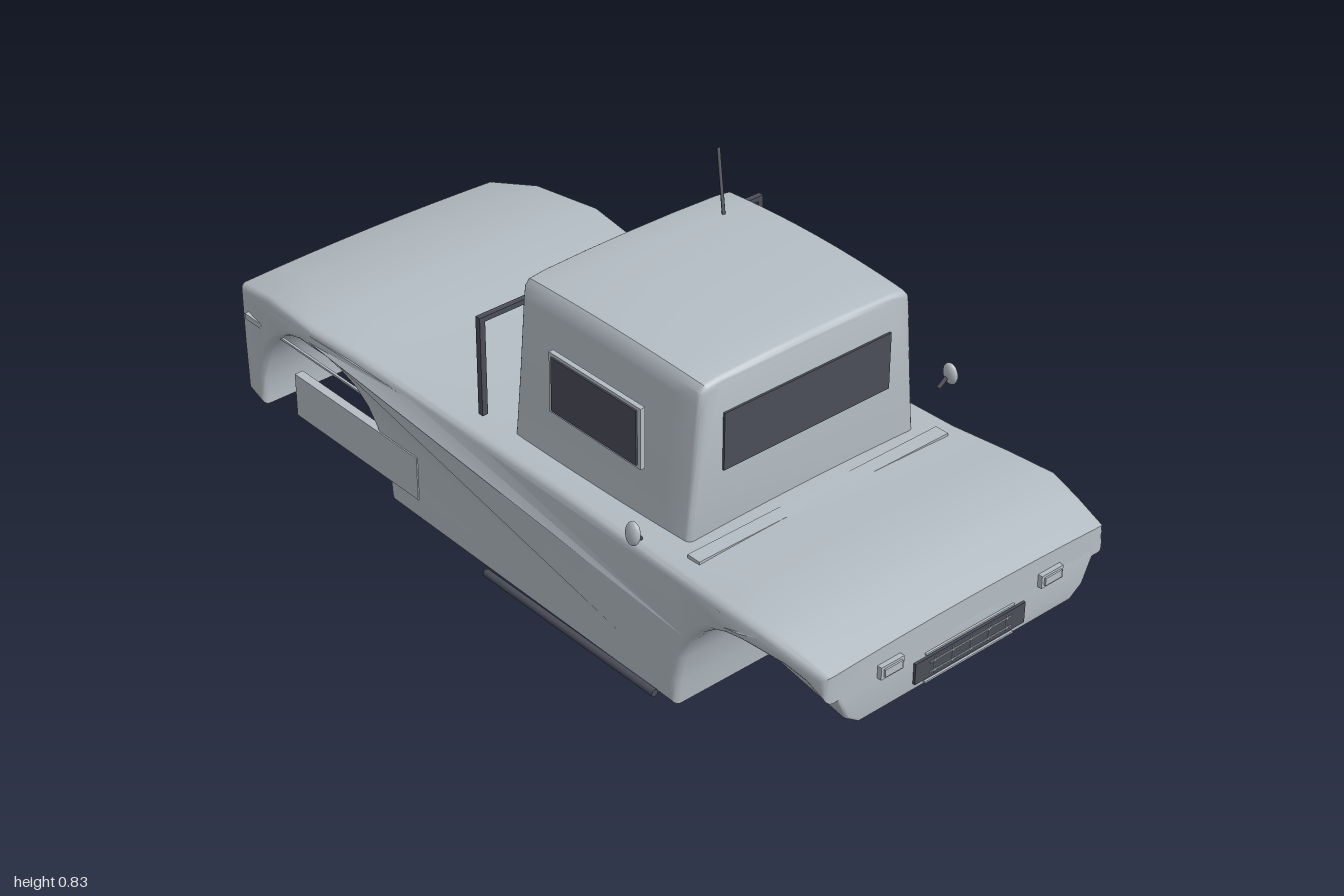
import * as THREE from 'three';
import { mergeVertices, toCreasedNormals } from 'three/addons/utils/BufferGeometryUtils.js';

const paint = new THREE.MeshStandardMaterial({ color: 0xb4bdc4, side: THREE.DoubleSide });
paint.name = 'grey paint';
const dark = new THREE.MeshStandardMaterial({ color: 0x4a4c58, side: THREE.DoubleSide });
dark.name = 'dark trim';

const V = (x, y, z) => new THREE.Vector3(x, y, z);

// Piecewise linear lookup in [position, value] pairs of rising position
function lookup(table, t) {
  if (t <= table[0][0]) return table[0][1];
  for (let i = 1; i < table.length; i++) {
    const [a, va] = table[i - 1], [b, vb] = table[i];
    if (t <= b) return va + (vb - va) * (t - a) / (b - a);
  }
  return table[table.length - 1][1];
}

// Extrude with rounded rims, centred on its depth, total depth given
function slab(points, depth, bevel, steps) {
  const shape = new THREE.Shape(points.map(p => new THREE.Vector2(p[0], p[1])));
  const g = new THREE.ExtrudeGeometry(shape, {
    depth: depth - 2 * bevel, steps, bevelEnabled: true, bevelThickness: bevel,
    bevelSize: bevel, bevelOffset: -bevel, bevelSegments: 4
  });
  return g.translate(0, 0, bevel - depth / 2);
}

// Move every vertex by a rule, then smooth everything but sharp edges
function warp(geometry, rule, crease = 0.6) {
  geometry.deleteAttribute('uv');
  geometry.deleteAttribute('normal');
  const g = mergeVertices(geometry, 1e-4), p = g.attributes.position, v = V(0, 0, 0);
  for (let i = 0; i < p.count; i++) {
    rule(v.fromBufferAttribute(p, i));
    p.setXYZ(i, v.x, v.y, v.z);
  }
  return toCreasedNormals(g, crease);
}

export function createModel() {
  const root = new THREE.Group();
  root.name = 'truckBody';

  const add = (name, geometry, material, x = 0, y = 0, z = 0) => {
    const m = new THREE.Mesh(geometry, material);
    m.name = name;
    m.position.set(x, y, z);
    root.add(m);
    return m;
  };
  const box = (name, material, w, h, d, x, y, z) =>
    add(name, new THREE.BoxGeometry(w, h, d), material, x, y, z);
  const rod = (name, material, a, b, r) => {
    const m = add(name, new THREE.CylinderGeometry(r, r, a.distanceTo(b), 8), material);
    m.position.copy(a).lerp(b, 0.5);
    m.quaternion.setFromUnitVectors(V(0, 1, 0), b.clone().sub(a).normalize());
    return m;
  };

  // Lower body: side outline with both wheel arches, flared over the wheels
  const outline = [
    [0.985, 0.25], [0.985, 0.315], [0.9, 0.337], [0.82, 0.352], [0.7, 0.347], [0.55, 0.338],
    [0.2, 0.335], [-0.05, 0.33], [-0.3, 0.332], [-0.5, 0.345], [-0.64, 0.352],
    [-0.83, 0.338], [-0.975, 0.295], [-0.975, 0.15], [-0.97, 0.015], [-0.89, 0.01]
  ];
  for (let i = 0; i <= 16; i++) {
    const a = Math.PI * (1 - i / 16);
    outline.push([-0.64 + 0.25 * Math.cos(a), 0.03 + 0.268 * Math.sin(a)]);
  }
  outline.push([-0.385, 0.012], [0.56, 0], [0.567, 0.06], [0.58, 0.13], [0.605, 0.185], [0.64, 0.23],
    [0.68, 0.262], [0.72, 0.282], [0.77, 0.296], [0.82, 0.3], [0.88, 0.294], [0.93, 0.28]);
  const halfWidth = [[-0.98, 0.375], [-0.83, 0.4], [-0.64, 0.42], [-0.45, 0.4], [-0.25, 0.39],
    [0, 0.39], [0.3, 0.395], [0.6, 0.403], [0.8, 0.42], [0.985, 0.39]];
  const bodyGeo = slab(outline, 0.8, 0.018, 8).rotateY(-Math.PI / 2);
  add('body', warp(bodyGeo, v => {
    const flare = THREE.MathUtils.smoothstep(v.y, 0.15, 0.3);
    const w = lookup(halfWidth, v.z);
    const low = v.z < -0.8 ? w : 0.4;
    v.x *= (low + (w - low) * flare) / 0.4;
    if (v.y > 0.27) v.y += 0.008 - 0.06 * v.x * v.x;
  }), paint);

  // Nose under the bonnet, rising toward the back
  const nose = slab([[-0.3, 0.165], [0.3, 0.165], [0.335, 0.19], [0.362, 0.25], [0.35, 0.285],
    [-0.35, 0.285], [-0.362, 0.25], [-0.335, 0.19]], 0.37, 0.008, 4).translate(0, 0, 0.8);
  add('nose', warp(nose, v => {
    const back = (0.985 - v.z) / 0.37;
    if (v.y < 0.26) v.y += 0.05 * back * (0.26 - v.y) / 0.095;
    else v.y += 0.01 * Math.min(1, back * 2) - 0.01;
    v.x *= 1 - 0.06 * back;
  }), paint);

  // Grille with its bars, and trim lines above and below
  box('grille', dark, 0.31, 0.05, 0.008, 0, 0.21, 0.987);
  for (let i = -2; i <= 2; i++) box('grilleBar', paint, 0.003, 0.036, 0.004, i * 0.051, 0.21, 0.991);
  for (const y of [0.197, 0.221]) box('grilleBar', paint, 0.23, 0.003, 0.004, 0, y, 0.991);
  for (const y of [0.175, 0.243]) box('noseTrim', paint, 0.25, 0.004, 0.008, 0, y, 0.986);

  // Cab: tapered front outline, roof arched along its length
  const cabOutline = [[-0.326, 0.31], [0.326, 0.31], [0.31, 0.48], [0.296, 0.66], [0.292, 0.69],
    [0.28, 0.704], [0.24, 0.709], [0.12, 0.713], [0, 0.714],
    [-0.12, 0.713], [-0.24, 0.709], [-0.28, 0.704], [-0.292, 0.69], [-0.296, 0.66], [-0.31, 0.48]];
  add('cab', warp(slab(cabOutline, 0.55, 0.014, 8).translate(0, 0, 0.235), v => {
    const t = (v.z - 0.2) / 0.3;
    if (v.y > 0.6) v.y -= 0.012 * t * t;
    v.x *= 1 - 0.02 * t * t;
  }), paint);

  // Windscreen and framed rear window
  box('windscreen', dark, 0.46, 0.135, 0.008, 0, 0.547, 0.511);
  for (const s of [-1, 1]) {
    box('rearWindowFrame', paint, 0.25, 0.008, 0.014, 0, 0.52 + s * 0.035, -0.043);
    box('rearWindowFrame', paint, 0.008, 0.07, 0.014, s * 0.121, 0.52, -0.043);
  }

  // Cowl strip on the bonnet
  box('cowlStrip', paint, 0.7, 0.012, 0.035, 0, 0.341, 0.56);

  // Hoop behind the cab
  box('hoopBar', dark, 0.79, 0.012, 0.014, 0, 0.632, -0.056);

  // Sloping underbody panel ahead of the rear axle
  const panel = box('underbodyPanel', dark, 0.44, 0.006, 0.235, 0, 0.1, -0.525);
  panel.rotation.x = 0.33;

  for (const s of [-1, 1]) {
    // Side window: pane on an upright frame
    box('sideWindowFrame', paint, 0.012, 0.145, 0.285, s * 0.324, 0.527, 0.235);
    box('sideWindow', dark, 0.006, 0.13, 0.265, s * 0.331, 0.527, 0.235);

    // Hoop uprights
    box('hoopUpright', dark, 0.014, 0.238, 0.014, s * 0.388, 0.519, -0.056);

    // Round mirror on a short stalk
    const mirror = add('mirror', new THREE.SphereGeometry(1, 16, 12), paint, s * 0.445, 0.412, 0.487);
    mirror.scale.set(0.011, 0.027, 0.02);
    mirror.rotation.z = s * 0.1;
    rod('mirrorStalk', dark, V(s * 0.442, 0.408, 0.484), V(s * 0.418, 0.384, 0.48), 0.005);

    // Head lamps and tail lamps
    box('headlampFrame', paint, 0.062, 0.03, 0.022, s * 0.225, 0.266, 0.985);
    box('headlamp', paint, 0.048, 0.018, 0.006, s * 0.225, 0.266, 0.997);
    box('tailLamp', dark, 0.04, 0.022, 0.01, s * 0.33, 0.25, -0.977);

    // Side trims, equipment panel and sill tube
    box('sideTrim', paint, 0.012, 0.016, 0.28, s * 0.394, 0.237, -0.22);
    box('rearSideTrim', paint, 0.012, 0.014, 0.065, s * 0.388, 0.237, -0.9);
    box('archRail', paint, 0.006, 0.005, 0.46, s * 0.385, 0.235, -0.64);
    box('sidePanel', paint, 0.022, 0.11, 0.45, s * 0.392, 0.125, -0.505);
    rod('sillTube', dark, V(s * 0.407, 0.009, 0.51), V(s * 0.407, 0.009, -0.04), 0.009);
  }

  // Aerial on the roof
  rod('aerial', dark, V(0.188, 0.7, 0.05), V(0.229, 0.828, -0.015), 0.004);

  return root;
}
